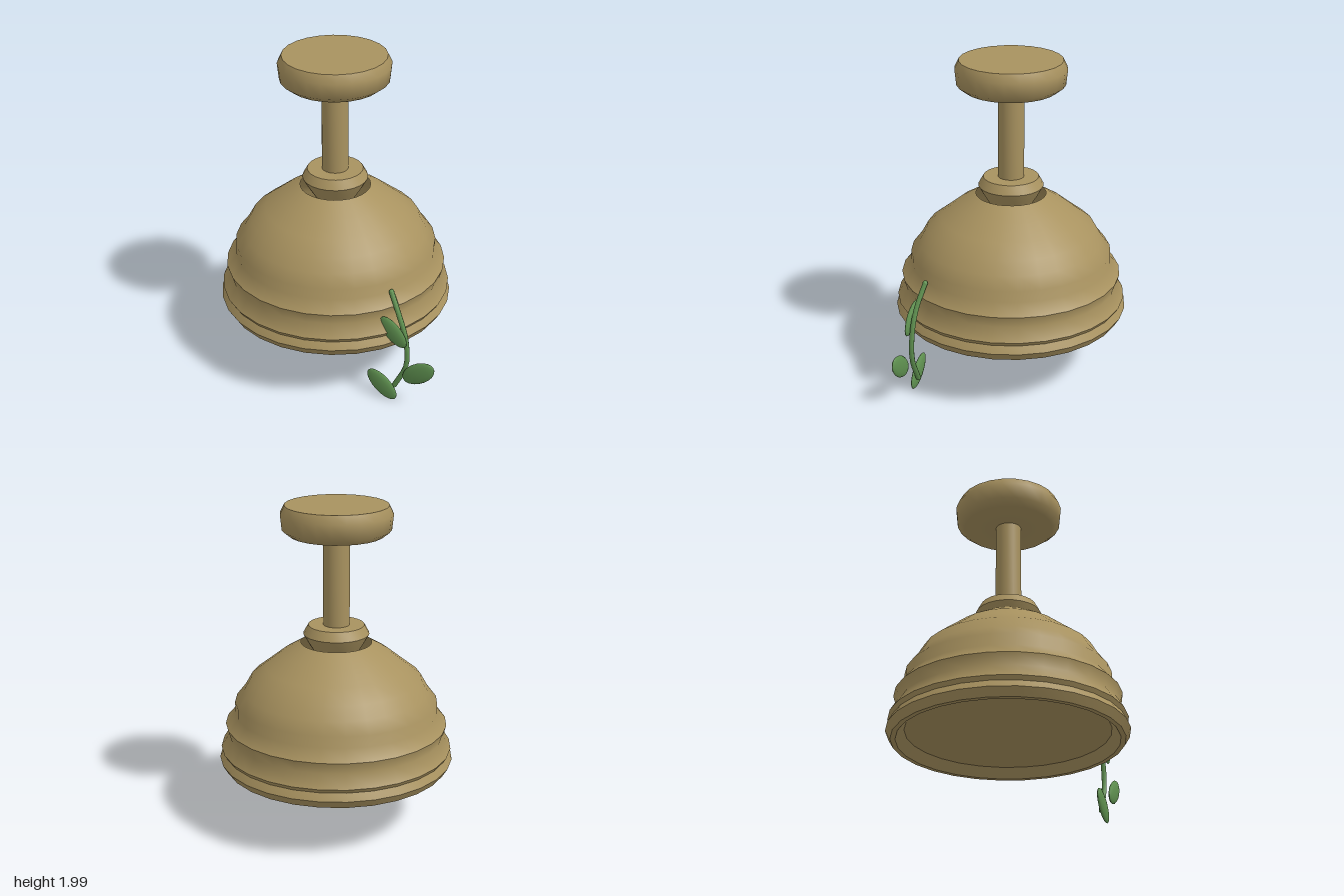
import * as THREE from 'three';
import { toCreasedNormals } from 'three/addons/utils/BufferGeometryUtils.js';

export function createModel() {
  const model = new THREE.Group();
  model.name = 'hangingLampWithVine';

  const brass = new THREE.MeshStandardMaterial({ color: 0xa8925f, side: THREE.DoubleSide });
  brass.name = 'brass';
  const leafGreen = new THREE.MeshStandardMaterial({ color: 0x5f9150 });
  leafGreen.name = 'leafGreen';

  function add(parent, name, geometry, material) {
    const mesh = new THREE.Mesh(geometry, material);
    mesh.name = name;
    parent.add(mesh);
    return mesh;
  }

  // Turned parts: [radius, height] profiles listed from bottom to top
  function turned(profile, sides) {
    const points = profile.map(([r, y]) => new THREE.Vector2(r, y));
    return toCreasedNormals(new THREE.LatheGeometry(points, sides), 0.87);
  }

  const lamp = new THREE.Group();
  lamp.name = 'lamp';
  lamp.position.x = -0.08;
  model.add(lamp);

  // Stepped dome with a recessed underside and an open neck
  add(lamp, 'shade', turned([
    [0, 0.44], [0.61, 0.44], [0.66, 0.38], [0.69, 0.38], [0.72, 0.43],
    [0.695, 0.475], [0.71, 0.5], [0.66, 0.58], [0.68, 0.65], [0.62, 0.72],
    [0.62, 0.79], [0.565, 0.86], [0.52, 0.94], [0.43, 1.01], [0.33, 1.09], [0.215, 1.16],
  ], 28), brass);

  add(lamp, 'collar', turned([
    [0, 1.08], [0.12, 1.08], [0.17, 1.16], [0.2, 1.215], [0.17, 1.27], [0, 1.27],
  ], 24), brass);

  add(lamp, 'rod', turned([[0.08, 1.26], [0.08, 1.83]], 24), brass);

  add(lamp, 'ceilingCanopy', turned([
    [0, 1.82], [0.28, 1.82], [0.325, 1.855], [0.335, 1.95], [0.31, 2], [0, 2],
  ], 24), brass);

  // Vine hanging over the shade rim
  const vine = new THREE.Group();
  vine.name = 'vine';
  model.add(vine);

  const path = new THREE.CatmullRomCurve3([
    new THREE.Vector3(0.47, 0.73, 0.33),
    new THREE.Vector3(0.535, 0.6, 0.357),
    new THREE.Vector3(0.585, 0.46, 0.367),
    new THREE.Vector3(0.595, 0.27, 0.37),
    new THREE.Vector3(0.52, 0.1, 0.37),
  ]);
  add(vine, 'stem', new THREE.TubeGeometry(path, 12, 0.016, 8), leafGreen);
  for (const t of [0, 1]) {
    const tip = add(vine, 'stemTip', new THREE.SphereGeometry(0.017, 8, 6), leafGreen);
    tip.position.copy(path.getPoint(t));
  }

  // Flat oval leaves: centre x, centre y, half length, half width, tilt
  const leaves = [
    [0.52, 0.505, 0.115, 0.058, -0.82],
    [0.69, 0.262, 0.12, 0.065, 0.66],
    [0.452, 0.105, 0.12, 0.065, -0.72],
  ];
  for (const [x, y, length, width, tilt] of leaves) {
    const oval = new THREE.SphereGeometry(1, 12, 10).rotateZ(Math.PI / 2);
    const leaf = add(vine, 'leaf', oval.scale(length, width, 0.019), leafGreen);
    leaf.position.set(x, y, 0.403);
    leaf.rotation.z = tilt;
  }

  return model;
}
